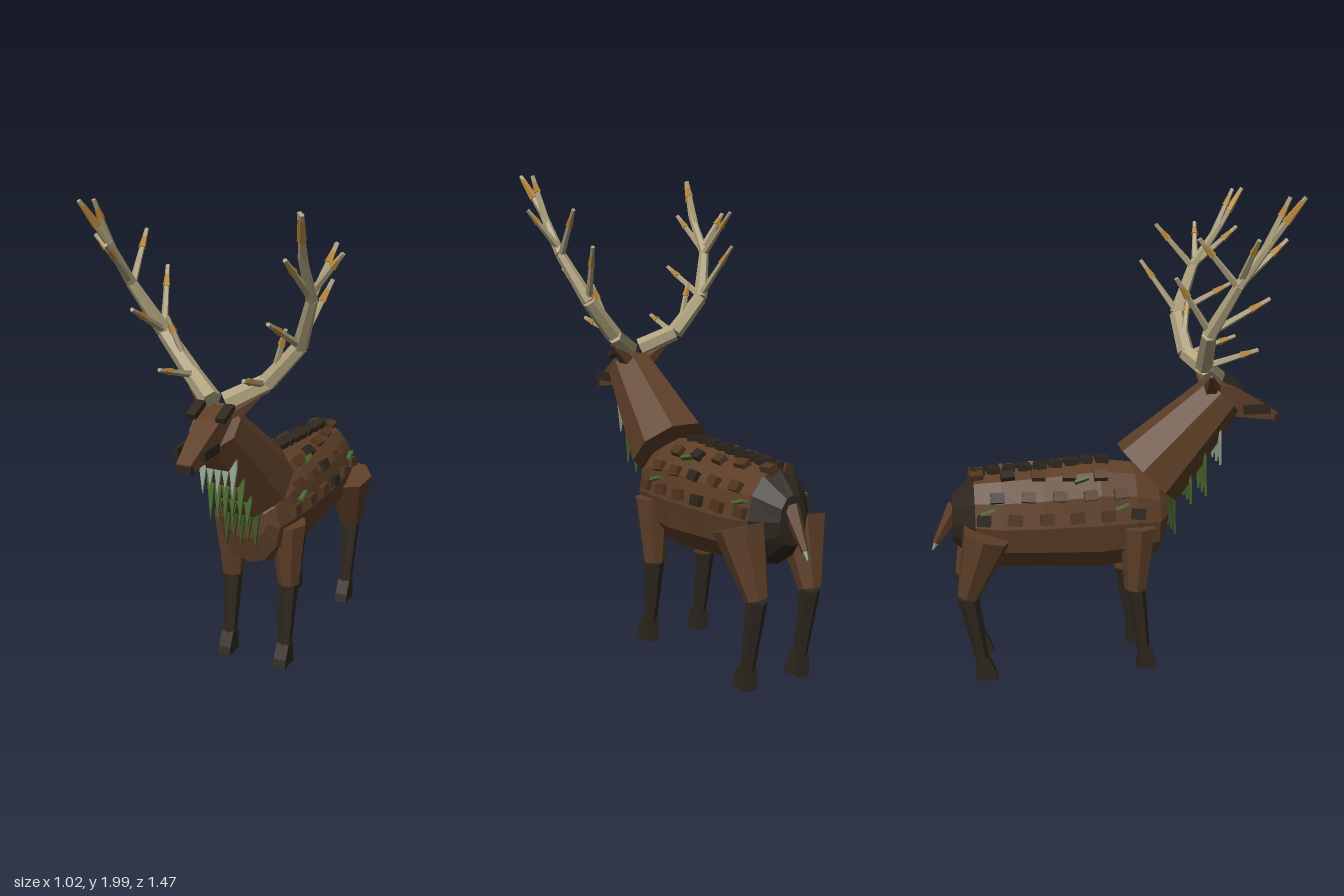
import * as THREE from 'three';

const mat = (name, color) => Object.assign(new THREE.MeshStandardMaterial({ color }), { name });
const V = (p) => new THREE.Vector3(...p);

export function createModel() {
  const model = new THREE.Group();
  model.name = 'barkStag';
  const M = {
    hide: mat('brown hide', 0x5e3f28),
    dark: mat('charcoal bark', 0x2e261e),
    bark: mat('deep brown bark', 0x50351f),
    bone: mat('pale wood', 0xada07c),
    gold: mat('gold bud', 0xb5873a),
    pale: mat('pale lichen', 0x93a78f),
    moss: mat('green moss', 0x4d6a30),
    deep: mat('dark moss', 0x3e5527),
  };

  // Faceted mesh: every face keeps its own normal
  function add(name, geo, material, parent = model) {
    const g = geo.index ? geo.toNonIndexed() : geo;
    g.computeVertexNormals();
    const m = new THREE.Mesh(g, material);
    m.name = name;
    parent.add(m);
    return m;
  }

  // Tapered bar from a to b
  function strut(name, a, b, ra, rb, sides, material, parent) {
    const d = V(b).sub(V(a));
    const m = add(name, new THREE.CylinderGeometry(rb, ra, d.length(), sides), material, parent);
    m.position.copy(V(a)).addScaledVector(d, 0.5);
    m.quaternion.setFromUnitVectors(new THREE.Vector3(0, 1, 0), d.normalize());
    return m;
  }

  // Skin over sections [z, centreY, halfWidth, halfHeight], listed front to back
  function loft(sections, sides, phase = 0, grow = 1) {
    const pos = [], idx = [];
    for (const [z, cy, rx, ry] of sections)
      for (let j = 0; j < sides; j++) {
        const a = phase + (j / sides) * Math.PI * 2;
        pos.push(Math.cos(a) * rx * grow, cy + Math.sin(a) * ry * grow, z);
      }
    const last = sections.length - 1, c0 = pos.length / 3;
    for (const s of [sections[0], sections[last]]) pos.push(0, s[1], s[0]);
    for (let j = 0; j < sides; j++) {
      const k = (j + 1) % sides;
      for (let i = 0; i < last; i++) {
        const A = i * sides + j, B = A + sides, C = i * sides + k, D = C + sides;
        idx.push(A, B, C, C, B, D);
      }
      idx.push(c0, j, k, c0 + 1, last * sides + k, last * sides + j);
    }
    const g = new THREE.BufferGeometry();
    g.setAttribute('position', new THREE.Float32BufferAttribute(pos, 3));
    g.setIndex(idx);
    return g;
  }

  // Body with a charcoal rump
  const body = [
    [0.25, 0.675, 0.1, 0.08], [0.21, 0.65, 0.14, 0.18], [0.11, 0.66, 0.165, 0.22],
    [-0.04, 0.66, 0.178, 0.24], [-0.28, 0.66, 0.178, 0.22], [-0.45, 0.66, 0.168, 0.21],
    [-0.56, 0.67, 0.15, 0.19], [-0.65, 0.67, 0.065, 0.1],
  ];
  add('body', loft(body.slice(0, 7), 12), M.hide);
  add('rump', loft(body.slice(6), 12), M.dark);

  // Body section at any z
  function sectionAt(z) {
    let i = 0;
    while (i < body.length - 2 && body[i + 1][0] > z) i++;
    const t = (z - body[i][0]) / (body[i + 1][0] - body[i][0]);
    return body[i].map((v, k) => v + (body[i + 1][k] - v) * t);
  }

  // Box lying on the flank at height y
  function onFlank(name, y, z, side, size, material, twist = 0) {
    const [, cy, rx, ry] = sectionAt(z);
    const a = Math.asin(Math.min(0.99, (y - cy) / ry));
    const n = Math.atan2(Math.sin(a) / ry, Math.cos(a) / rx);
    const m = add(name, new THREE.BoxGeometry(...size), material);
    m.position.set(side * rx * Math.cos(a), cy + ry * Math.sin(a), z);
    m.rotation.set(0, 0, side * (n - Math.PI / 2));
    m.rotateY(twist);
  }

  // Bark plates in three rows on each flank, and moss blades between them
  const rows = [[0.855, -0.04, 5], [0.785, 0.04, 5], [0.7, 0.11, 6]];
  for (const side of [1, -1]) {
    rows.forEach(([y, z0, count], r) => {
      for (let i = 0; i < count; i++) {
        const isDark = (i * 2 + r * 3 + (side > 0 ? 0 : 1)) % 5 === 2;
        onFlank('barkPlate', y, z0 - i * 0.127, side, [0.042, 0.036, 0.056],
          isDark ? M.dark : M.bark, 0.12 * Math.sin(i * 5 + r * 2));
      }
    });
    for (const [y, z] of [[0.735, 0.04], [0.735, -0.51], [0.84, -0.12]])
      onFlank('mossBlade', y, z, side, [0.012, 0.03, 0.06], M.moss, 0.3);
  }

  // Charcoal ridge along the spine
  for (let i = 0; i < 9; i++) {
    const z = -0.02 - i * 0.065, s = sectionAt(z);
    const m = add('spinePlate', new THREE.BoxGeometry(0.06, 0.025, 0.055), M.dark);
    m.position.set(0, s[1] + s[3] + 0.002, z);
    m.rotation.set(0.12, 0.15 * Math.sin(i * 4), 0);
  }

  // Neck and head
  const neck = strut('neck', [0, 0.83, 0.175], [0, 1.155, 0.495], 0.176, 0.104, 8, M.hide);
  neck.rotateY(Math.PI / 8);
  add('head', loft([
    [0.735, 1.06, 0.03, 0.016], [0.68, 1.08, 0.037, 0.03],
    [0.55, 1.13, 0.052, 0.06], [0.44, 1.16, 0.065, 0.06],
  ], 4, Math.PI / 4, Math.SQRT2), M.hide);
  const nose = add('nose', new THREE.BoxGeometry(0.064, 0.03, 0.02), M.dark);
  nose.position.set(0, 1.055, 0.726);
  for (const s of [1, -1]) {
    const brow = add('brow', new THREE.BoxGeometry(0.04, 0.022, 0.09), M.dark);
    brow.position.set(s * 0.062, 1.218, 0.525);
    brow.rotation.x = 0.4;
    const cheek = add('cheekBark', new THREE.BoxGeometry(0.02, 0.038, 0.115), M.dark);
    cheek.position.set(s * 0.056, 1.1, 0.635);
    strut('ear', [s * 0.05, 1.19, 0.44], [s * 0.15, 1.265, 0.41], 0.04, 0.006, 5, M.hide);
  }

  // Hanging moss: thin curtains with pointed lower edges
  function curtain(top, notch, tip, z, material) {
    const w = 0.082, teeth = 5, step = (2 * w) / teeth;
    const s = new THREE.Shape();
    s.moveTo(w, top);
    s.lineTo(-w, top);
    for (let i = 0; i < teeth; i++) {
      s.lineTo(-w + i * step, notch);
      s.lineTo(-w + (i + 0.5) * step, tip + (i % 2) * 0.03);
    }
    s.lineTo(w, notch);
    const g = new THREE.ExtrudeGeometry(s, { depth: 0.01, bevelEnabled: false });
    g.translate(0, -top, -0.005);
    const m = add('hangingMoss', g, material);
    m.position.set(0, top, z);
    m.rotation.x = -0.06;
  }
  curtain(1.05, 0.98, 0.865, 0.468, M.pale);
  curtain(0.96, 0.89, 0.73, 0.405, M.moss);
  curtain(0.85, 0.8, 0.7, 0.345, M.moss);
  curtain(0.77, 0.72, 0.57, 0.275, M.deep);

  // Legs: upper, lower and hoof
  const hoofShape = new THREE.Shape(
    [[-0.045, 0], [0.045, 0], [0.035, 0.035], [0.005, 0.095], [-0.04, 0.095]]
      .map((p) => new THREE.Vector2(...p)));
  function leg(kind, s, hip, rHip, knee, ankle) {
    const g = new THREE.Group();
    g.name = kind + 'Leg';
    const at = ([x, y, z]) => [s * x, y, z];
    strut('upperLeg', at(hip), at(knee), rHip, 0.047, 7, M.hide, g);
    strut('lowerLeg', at(knee), at(ankle), 0.042, 0.028, 6, M.dark, g);
    const hg = new THREE.ExtrudeGeometry(hoofShape, { depth: 0.056, bevelEnabled: false });
    hg.translate(0, 0, -0.028);
    hg.rotateY(-Math.PI / 2);
    add('hoof', hg, M.dark, g).position.set(s * ankle[0], 0, ankle[2] + 0.018);
    model.add(g);
  }
  for (const s of [1, -1]) {
    leg('front', s, [0.133, 0.64, 0.115], 0.078, [0.132, 0.36, 0.105], [0.132, 0.08, 0.142]);
    leg('hind', s, [0.15, 0.64, -0.515], 0.105, [0.132, 0.37, -0.6], [0.132, 0.08, -0.545]);
  }

  // Tail with a pale tip
  strut('tail', [0, 0.72, -0.63], [0, 0.565, -0.72], 0.04, 0.014, 5, M.hide);
  strut('tailTip', [0, 0.585, -0.708], [0, 0.535, -0.735], 0.015, 0.004, 5, M.pale);

  // Antlers: a curved beam with tines, each carrying a gold bud
  const beam = [
    [0.03, 1.24, 0.46], [0.16, 1.31, 0.375], [0.29, 1.46, 0.36],
    [0.375, 1.66, 0.45], [0.39, 1.83, 0.57], [0.435, 1.99, 0.68],
  ];
  const radii = [0.042, 0.037, 0.031, 0.022, 0.016, 0.009];
  const tines = [
    [[0.15, 1.31, 0.39], [0.175, 1.375, 0.595]], [[0.19, 1.35, 0.37], [0.25, 1.53, 0.4]],
    [[0.29, 1.47, 0.37], [0.277, 1.595, 0.605]], [[0.29, 1.47, 0.36], [0.355, 1.69, 0.21]],
    [[0.37, 1.65, 0.45], [0.4, 1.84, 0.285]], [[0.375, 1.67, 0.46], [0.357, 1.83, 0.64]],
    [[0.38, 1.69, 0.46], [0.505, 1.84, 0.485]], [[0.387, 1.78, 0.535], [0.405, 1.99, 0.63]],
  ];
  for (const s of [1, -1]) {
    const g = new THREE.Group();
    g.name = s > 0 ? 'leftAntler' : 'rightAntler';
    const at = ([x, y, z]) => [s * x, y, z];
    const mix = (a, b, t) => at(V(a).lerp(V(b), t).toArray());
    for (let i = 0; i < 5; i++)
      strut('beam', at(beam[i]), at(beam[i + 1]), radii[i], radii[i + 1], 6, M.bone, g);
    strut('bud', mix(beam[4], beam[5], 0.4), mix(beam[4], beam[5], 0.9), 0.018, 0.011, 5, M.gold, g);
    for (const [a, b] of tines) {
      strut('tine', at(a), at(b), 0.016, 0.009, 5, M.bone, g);
      strut('bud', mix(a, b, 0.66), mix(a, b, 0.85), 0.016, 0.01, 5, M.gold, g);
    }
    model.add(g);
  }
  return model;
}
